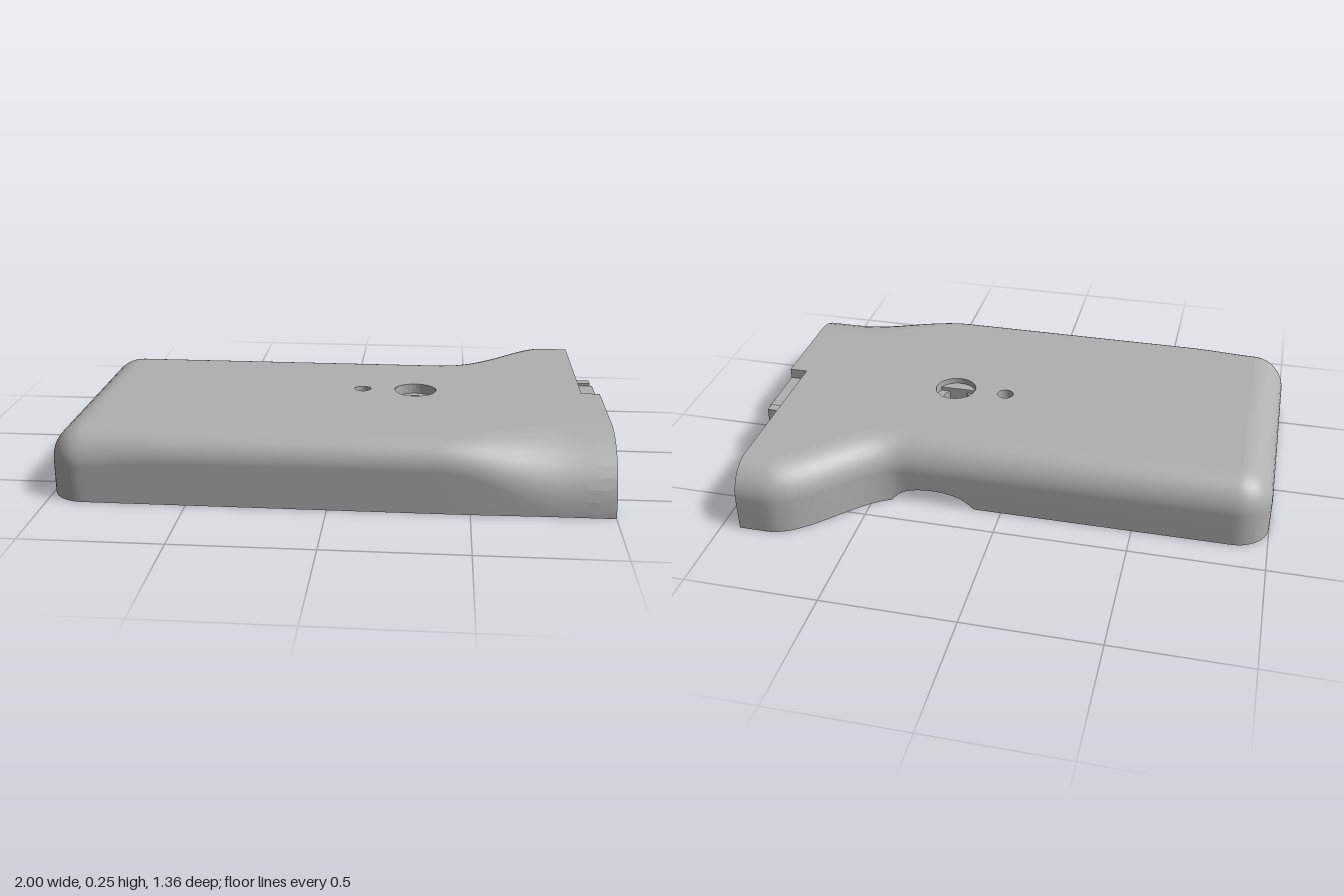
import * as THREE from 'three';

const H = 0.255, T = 0.03;
const plastic = new THREE.MeshStandardMaterial({ color: 0xb0b0b0, side: THREE.DoubleSide });
plastic.name = 'grey plastic';

const ease = (v, a, b) => {
  const t = Math.min(1, Math.max(0, (v - a) / (b - a)));
  return (1 - Math.cos(Math.PI * t)) / 2;
};

// Plan outline from the back right end, round the left side, to the front right end.
// r, ry: width and height of the rounded top edge; y0: lower rim height.
function makeOutline() {
  const pts = [];
  const add = (x, z, r, ry, y0 = 0) => pts.push({ x, z, r, ry, y0 });
  for (let i = 0; i <= 72; i++) {
    const x = 0.93 - 1.8 * i / 72;
    const arch = Math.max(0, 1 - ((x - 0.27) / 0.15) ** 2);
    add(x, -0.38 - 0.3 * ease(x, 0.38, 0.82), 0.122, 0.125, 0.06 * Math.sqrt(arch));
  }
  for (let i = 1; i <= 10; i++) {
    const a = Math.PI / 2 * i / 10;
    add(-0.87 - 0.13 * Math.sin(a), -0.25 - 0.13 * Math.cos(a), 0.122, 0.125);
  }
  for (let i = 0; i <= 10; i++) {
    const a = Math.PI / 2 * i / 10;
    add(-0.87 - 0.13 * Math.cos(a), 0.55 + 0.13 * Math.sin(a), 0.122, 0.125);
  }
  for (let i = 1; i <= 50; i++) {
    const x = -0.87 + 1.87 * i / 50, s = ease(x, 0.38, 0.88), c = 0.022 * (1 - ease(x, -0.87, -0.6));
    add(x, 0.68 - 0.008 * s, 0.1 + c + 0.16 * s, 0.1 + c + 0.14 * s);
  }
  // inward normals
  pts.forEach((p, i) => {
    const a = pts[Math.max(0, i - 1)], b = pts[Math.min(pts.length - 1, i + 1)];
    const l = Math.hypot(b.x - a.x, b.z - a.z);
    p.nx = (b.z - a.z) / l;
    p.nz = -(b.x - a.x) / l;
  });
  Object.assign(pts[0], { nx: 0, nz: 1 });
  Object.assign(pts[pts.length - 1], { nx: 0, nz: -1 });
  return pts;
}

// Rings from the rim to the flat top, inset by t.
function makeRings(outline, t) {
  const rings = [outline.map(p => new THREE.Vector3(p.x + p.nx * t, p.y0, p.z + p.nz * t))];
  for (let k = 0; k <= 9; k++) {
    const a = Math.PI / 2 * k / 9;
    rings.push(outline.map(p => {
      const d = t + (p.r - t) * (1 - Math.cos(a));
      return new THREE.Vector3(p.x + p.nx * d, H - p.ry + (p.ry - t) * Math.sin(a), p.z + p.nz * d);
    }));
  }
  return rings;
}

function loft(rings) {
  const n = rings[0].length, idx = [];
  for (let k = 0; k < rings.length - 1; k++) for (let i = 0; i < n - 1; i++) {
    const a = k * n + i, b = a + n;
    idx.push(a, a + 1, b, a + 1, b + 1, b);
  }
  const g = new THREE.BufferGeometry().setFromPoints(rings.flat());
  g.setIndex(idx);
  g.computeVertexNormals();
  return g;
}

export function createModel() {
  const model = new THREE.Group();
  model.name = 'halfShellHousing';
  const put = (name, geo) => {
    const m = new THREE.Mesh(geo, plastic);
    m.name = name;
    model.add(m);
    return m;
  };
  const box = (name, x0, x1, y0, y1, z0, z1) =>
    put(name, new THREE.BoxGeometry(x1 - x0, y1 - y0, z1 - z0)
      .translate((x0 + x1) / 2, (y0 + y1) / 2, (z0 + z1) / 2));
  // plate with a [z, y] outline, extruded along x
  const slab = (name, pts, x0, depth) =>
    put(name, new THREE.ExtrudeGeometry(new THREE.Shape(pts.map(([z, y]) => new THREE.Vector2(-z, y))),
      { depth, bevelEnabled: false }).rotateY(Math.PI / 2).translate(x0, 0, 0));
  // vertical hollow post
  const tube = (name, x, z, ro, ri, y0, y1) => {
    const s = new THREE.Shape().absarc(0, 0, ro, 0, Math.PI * 2);
    if (ri) s.holes.push(new THREE.Path().absarc(0, 0, ri, 0, Math.PI * 2, true));
    return put(name, new THREE.ExtrudeGeometry(s, { depth: y1 - y0, bevelEnabled: false, curveSegments: 16 })
      .rotateX(-Math.PI / 2).translate(x, y0, z));
  };
  // half-round opening about the barrel axis, from front to back
  const arch = r => Array.from({ length: 25 }, (_, i) => {
    const a = Math.PI * i / 24;
    return [0.37 + r * Math.cos(a), r * Math.sin(a)];
  });

  // outer and inner skins, and the rim between them
  const outline = makeOutline();
  const outer = makeRings(outline, 0), inner = makeRings(outline, T);
  put('outerSkin', loft(outer));
  put('innerSkin', loft([...inner].reverse()));
  put('rim', loft([inner[0], outer[0]]));

  // flat top and ceiling with the two holes
  const panel = (name, ring, y, bigHole, down) => {
    const pts = ring.map(p => new THREE.Vector2(p.x, -p.z));
    pts.push(new THREE.Vector2(1, -0.06), new THREE.Vector2(0.93, -0.06));
    const s = new THREE.Shape(pts);
    for (const [x, r] of [[0.085, 0.032], [0.29, bigHole]])
      s.holes.push(new THREE.Path().absarc(x, -0.065, r, 0, Math.PI * 2, true));
    const g = new THREE.ShapeGeometry(s, 24).rotateX(-Math.PI / 2).translate(0, y, 0);
    if (down) {
      const a = g.index.array;
      for (let i = 0; i < a.length; i += 3) [a[i], a[i + 1]] = [a[i + 1], a[i]];
      g.computeVertexNormals();
    }
    put(name, g);
  };
  panel('topPanel', outer.at(-1), H, 0.08, false);
  panel('ceiling', inner.at(-1), H - T, 0.08, true);
  tube('counterboreWall', 0.29, 0.065, 0.105, 0.08, 0.17, H - 0.002);
  tube('counterboreSeat', 0.29, 0.065, 0.08, 0.05, 0.17, 0.215);
  tube('smallHoleBoss', 0.085, 0.065, 0.055, 0.032, 0.12, H - 0.002);

  // right end wall, following the shell section
  const last = outline.length - 1;
  const frontEdge = outer.map(r => [r[last].z, r[last].y]);
  const backEdge = outer.map(r => [r[0].z, r[0].y]).reverse();
  const slotArch = [...arch(0.17).filter(([z]) => z > 0.48), [0.48, 0.195], [0.26, 0.195],
    ...arch(0.17).filter(([z]) => z < 0.26)].reverse();
  slab('endWall', [...frontEdge, ...backEdge, ...slotArch], 0.9, 0.03);
  slab('endCollar', [...frontEdge, [0.06, H], [0.06, 0.215], [-0.17, 0.215], [-0.205, 0.1],
    [-0.23, 0.09], [-0.235, 0], ...arch(0.22).reverse()], 0.93, 0.07);
  box('latchHook', 0.93, 0.99, 0.17, 0.225, -0.21, -0.17);

  // arched cradle ribs along the front bay
  const ribTop = [[0.6, 0], [0.6, 0.1], [0.5, 0.2], [0.45, 0.225], [0.15, 0.225], [0.15, 0]];
  slab('barrelSeat', [...ribTop, ...arch(0.125).reverse()], 0.84, 0.03);
  for (const x of [0.66, 0.41, 0.14, -0.14])
    slab('cradleRib', [...ribTop, ...arch(0.17).reverse()], x, 0.1);
  box('bayPartition', -0.2, 0.84, 0.07, 0.23, 0.125, 0.15);

  // low frame and block in the middle
  for (const z of [-0.26, 0.1]) box('frameRail', -0.15, 0.6, 0.15, 0.23, z, z + 0.025);
  for (const x of [-0.15, 0.575]) box('frameEnd', x, x + 0.025, 0.15, 0.23, -0.26, 0.125);
  box('block', -0.08, 0.1, 0.1, 0.23, -0.17, -0.04);

  // screw posts
  for (const [x, z, y0, y1] of [[-0.74, 0.575, 0.02, 0.2], [0.77, 0.53, 0.02, 0.17],
    [0.64, -0.46, 0.04, 0.2], [-0.83, -0.22, 0.02, 0.21]])
    tube('screwPost', x, z, 0.045, 0.02, y0, y1);
  for (const z of [0.08, -0.07]) tube('smallPost', 0.77, z, 0.035, 0.015, 0.1, 0.23);

  // stiffening ribs on the back wall
  for (const x of [-0.6, -0.4, -0.2]) box('backRib', x, x + 0.025, 0.04, 0.2, -0.355, -0.28);

  return model;
}
